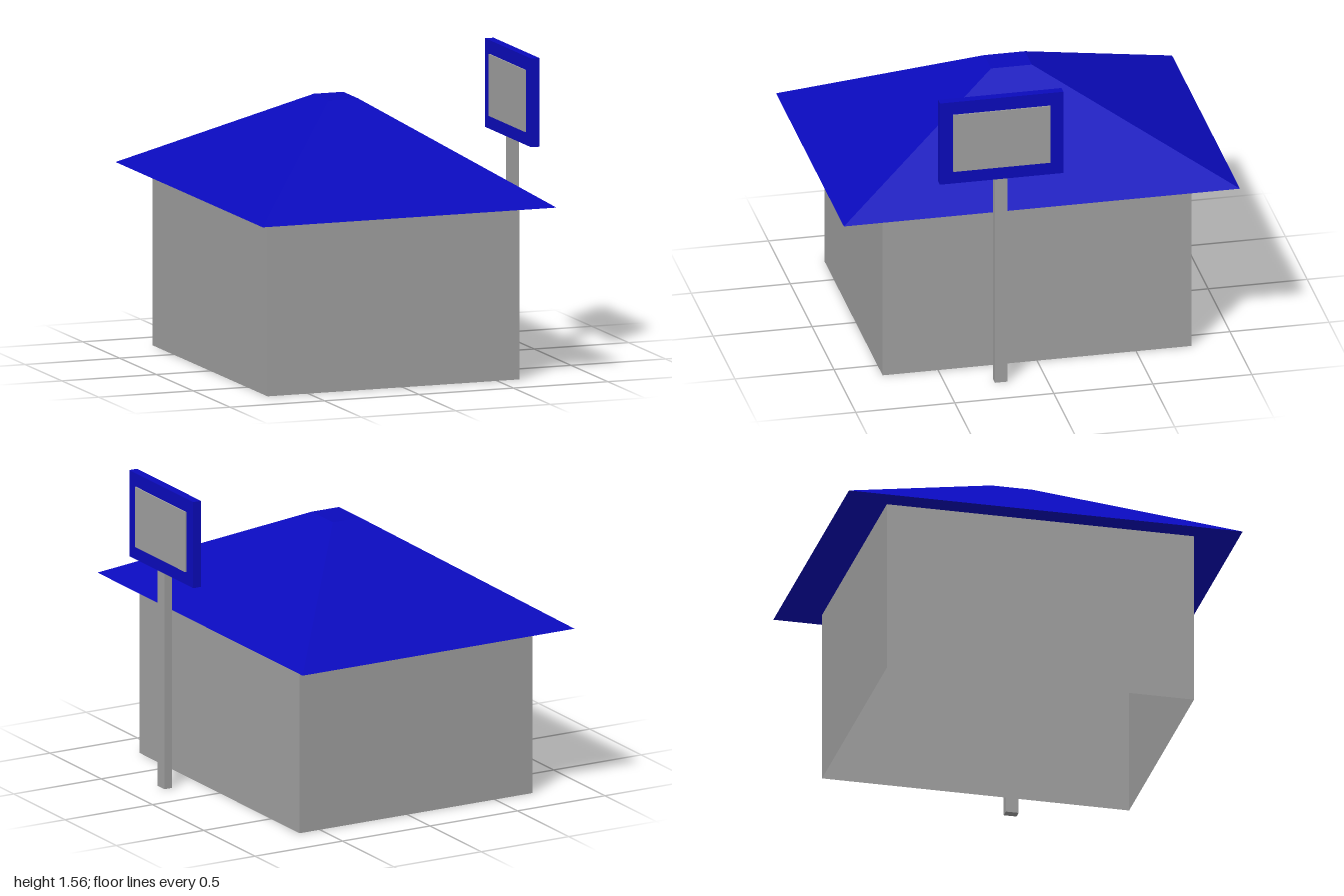
import * as THREE from 'three';

const grey = new THREE.MeshStandardMaterial({ color: 0xa0a0a0 });
const blue = new THREE.MeshStandardMaterial({ color: 0x0a0abc });
const greyOpen = grey.clone();
greyOpen.side = THREE.DoubleSide;

// Box given by its extents on each axis
function box(name, [x0, x1], [y0, y1], [z0, z1], material) {
  const mesh = new THREE.Mesh(new THREE.BoxGeometry(x1 - x0, y1 - y0, z1 - z0), material);
  mesh.position.set((x0 + x1) / 2, (y0 + y1) / 2, (z0 + z1) / 2);
  mesh.name = name;
  return mesh;
}

export function createModel() {
  const model = new THREE.Group();
  model.name = 'houseWithSign';

  // Walls: a rectangular shell, open at the floor and under the roof
  const halfW = 0.666, halfD = 0.78, wallH = 0.889, houseX = -0.049;
  const walls = new THREE.Group();
  walls.name = 'walls';
  for (let i = 0; i < 4; i++) {
    const side = i % 2 === 1;
    const wall = new THREE.Mesh(
      new THREE.PlaneGeometry(2 * (side ? halfD : halfW), wallH), greyOpen);
    const angle = i * Math.PI / 2;
    const reach = side ? halfW : halfD;
    wall.position.set(Math.sin(angle) * reach, wallH / 2, Math.cos(angle) * reach);
    wall.rotation.y = angle;
    wall.name = ['frontWall', 'leftWall', 'backWall', 'rightWall'][i];
    walls.add(wall);
  }
  walls.position.x = houseX;
  model.add(walls);

  // Hipped roof: a box whose top is drawn in to a small flat cap
  const roof = box('roof', [-0.826, 0.728], [wallH, 1.333], [-1, 1], blue);
  const p = roof.geometry.attributes.position;
  for (let i = 0; i < p.count; i++) {
    if (p.getY(i) > 0) {
      p.setX(i, Math.sign(p.getX(i)) * 0.078);
      p.setZ(i, Math.sign(p.getZ(i)) * 0.103);
    }
  }
  roof.geometry.computeVertexNormals();
  model.add(roof);

  // Sign on a post, with a panel standing proud on both faces
  const sign = new THREE.Group();
  sign.name = 'sign';
  sign.add(
    box('post', [0.775, 0.819], [0, 1.112], [0.193, 0.258], grey),
    box('signFrame', [0.775, 0.819], [1.112, 1.556], [-0.088, 0.535], blue),
    box('signPanel', [0.768, 0.826], [1.178, 1.488], [-0.022, 0.468], grey)
  );
  model.add(sign);

  return model;
}
